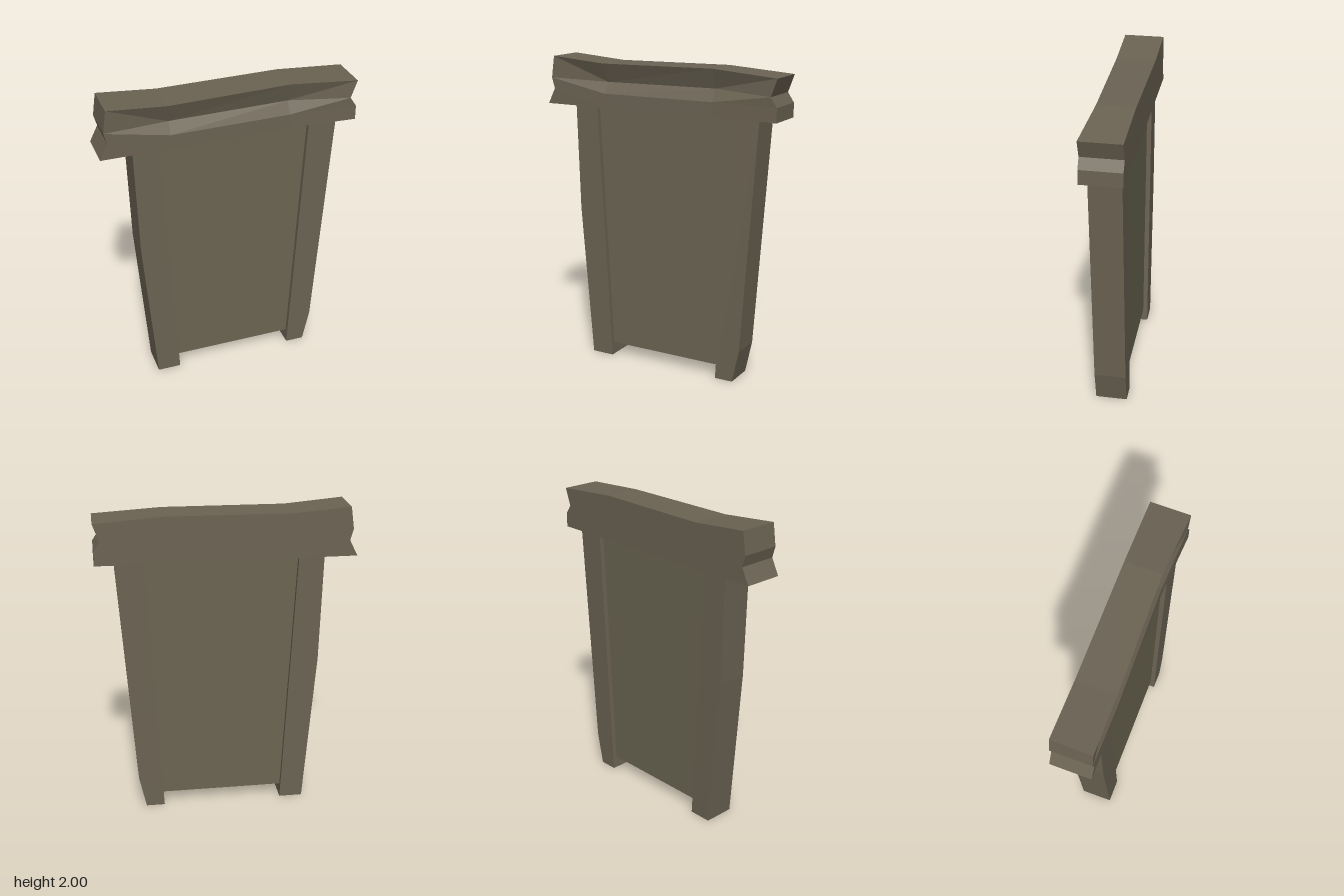
import * as THREE from 'three';

const wood = new THREE.MeshStandardMaterial({ color: 0x6b6353 });
wood.name = 'weathered wood';
const plankWood = new THREE.MeshStandardMaterial({ color: 0x6a6451 });
plankWood.name = 'plank wood';

// Extrudes a front outline between two depths
function slab(name, points, back, front, material) {
  const shape = new THREE.Shape(points.map(([x, y]) => new THREE.Vector2(x, y)));
  const geometry = new THREE.ExtrudeGeometry(shape, { depth: front - back, bevelEnabled: false });
  geometry.translate(0, 0, back);
  const mesh = new THREE.Mesh(geometry, material);
  mesh.name = name;
  return mesh;
}

// Crooked lintel: four stations along x, each with four [x, y, z] front points from top to bottom
function lintelGeometry() {
  const stations = [
    [[-0.76, 2.0, 0.127], [-0.78, 1.86, 0.127], [-0.76, 1.79, 0.127], [-0.81, 1.69, 0.127]],
    [[-0.39, 1.97, 0.122], [-0.38, 1.85, 0.075], [-0.38, 1.78, 0.122], [-0.38, 1.69, 0.122]],
    [[0.38, 1.98, 0.105], [0.38, 1.857, 0.065], [0.38, 1.78, 0.105], [0.38, 1.69, 0.105]],
    [[0.81, 1.95, 0.127], [0.77, 1.84, 0.127], [0.81, 1.78, 0.127], [0.81, 1.69, 0.127]],
  ];
  const back = ([x, y]) => [x, y, -0.127];
  const positions = [];
  // Corners run counter-clockwise, split from a to c
  const quad = (a, b, c, d) => positions.push(...a, ...b, ...c, ...a, ...c, ...d);
  for (let i = 0; i < 3; i++) {
    const l = stations[i], r = stations[i + 1];
    for (let j = 0; j < 3; j++) {
      // The end facets fold towards the groove
      if (i === 0) quad(l[j], l[j + 1], r[j + 1], r[j]);
      else quad(l[j + 1], r[j + 1], r[j], l[j]);
      quad(back(r[j]), back(r[j + 1]), back(l[j + 1]), back(l[j]));
    }
    quad(l[0], r[0], back(r[0]), back(l[0]));
    quad(l[3], back(l[3]), back(r[3]), r[3]);
  }
  // Notched ends
  const first = stations[0], last = stations[3];
  for (let j = 0; j < 3; j++) {
    quad(back(first[j]), back(first[j + 1]), first[j + 1], first[j]);
    quad(last[j], last[j + 1], back(last[j + 1]), back(last[j]));
  }
  const geometry = new THREE.BufferGeometry();
  geometry.setAttribute('position', new THREE.Float32BufferAttribute(positions, 3));
  geometry.computeVertexNormals();
  return geometry;
}

export function createModel() {
  const model = new THREE.Group();
  model.name = 'woodenDoor';

  const lintel = new THREE.Mesh(lintelGeometry(), wood);
  lintel.name = 'lintel';
  model.add(lintel);

  // Uneven side posts
  model.add(slab('rightPost',
    [[-0.51, 0], [-0.36, 0], [-0.45, 1.69], [-0.61, 1.69], [-0.59, 1.0]], -0.1, 0.1, wood));
  model.add(slab('leftPost',
    [[0.42, 0], [0.54, 0], [0.585, 0.21], [0.69, 1.69], [0.51, 1.69]], -0.1, 0.1, wood));

  // Recessed panel that widens upwards between the posts
  const leftX = (y) => 0.42 + (0.09 * y) / 1.69;
  const rightX = (y) => -0.36 - (0.09 * y) / 1.69;
  const strip = (a, b) => [[rightX(a), a], [leftX(a), a], [leftX(b), b], [rightX(b), b]];
  model.add(slab('backPanel', strip(0.08, 1.69), -0.07, 0.04, plankWood));

  // Planks on the front
  const seams = [0.08, 0.35, 0.625, 0.895, 1.165, 1.435, 1.69];
  for (let i = 0; i < seams.length - 1; i++) {
    model.add(slab(`plank${i + 1}`, strip(seams[i], seams[i + 1]), 0.04, 0.07, plankWood));
  }
  return model;
}
